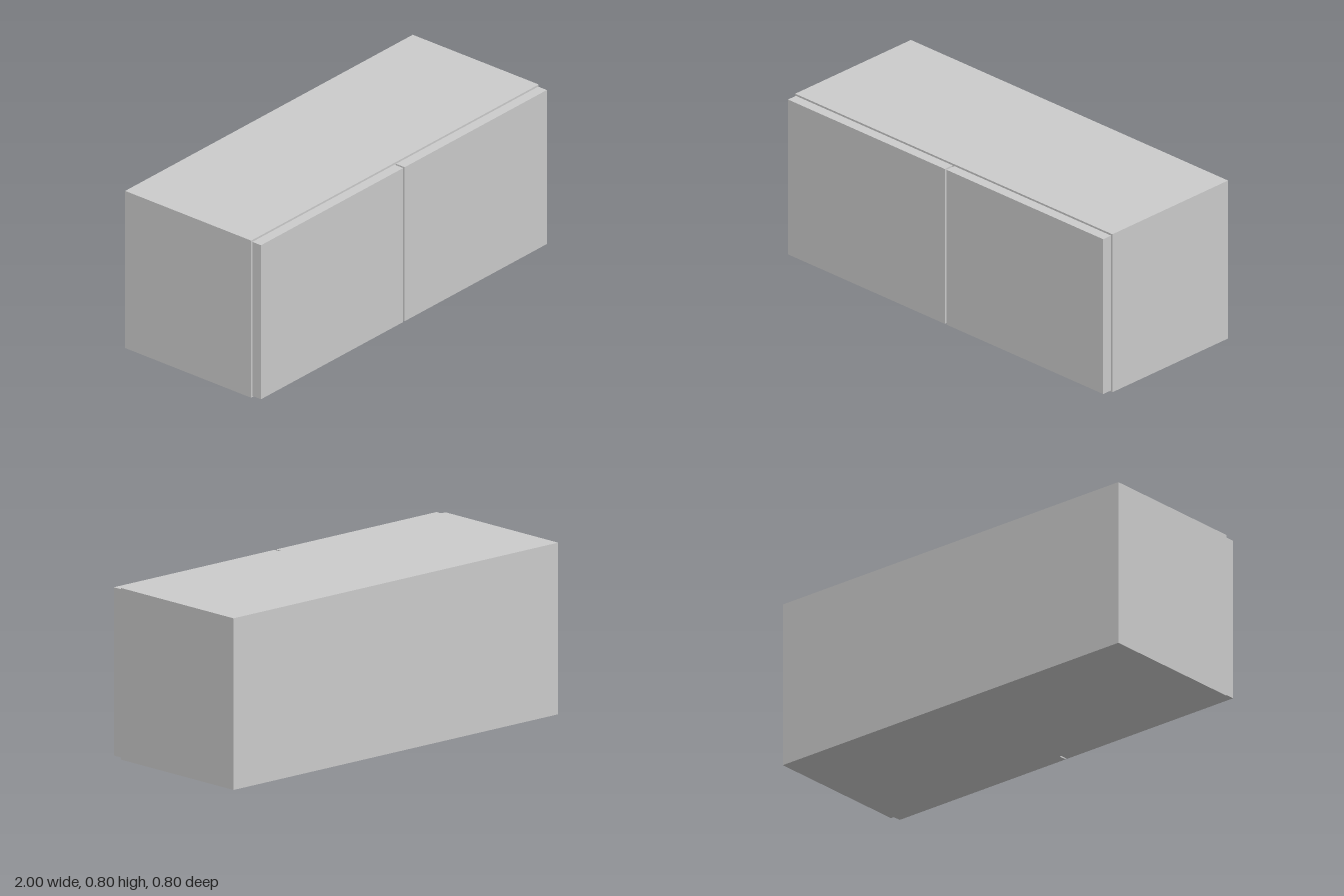
import * as THREE from 'three';

export function createModel() {
  const model = new THREE.Group();
  model.name = 'wallCabinet';
  const material = new THREE.MeshStandardMaterial({ color: 0xcccccc });

  // A board given by its extents along each axis
  function board(name, [x0, x1], [y0, y1], [z0, z1]) {
    const mesh = new THREE.Mesh(new THREE.BoxGeometry(x1 - x0, y1 - y0, z1 - z0), material);
    mesh.position.set((x0 + x1) / 2, (y0 + y1) / 2, (z0 + z1) / 2);
    mesh.name = name;
    model.add(mesh);
  }

  const height = 0.8, back = -0.4, front = 0.347, t = 0.046;
  const inner = 1 - t;
  const span = [-inner, inner];

  // Side panels and doors, mirrored about the centre
  for (const [label, s] of [['left', 1], ['right', -1]]) {
    const mirror = (a, b) => (s > 0 ? [a, b] : [-b, -a]);
    board(label + 'SidePanel', mirror(inner, 1), [0, height], [back, front]);
    board(label + 'Door', mirror(0.005, 0.994), [0.008, 0.792], [0.349, 0.4]);
  }

  // Horizontal boards between the sides
  board('topPanel', span, [height - t, height], [back, front]);
  board('bottomPanel', span, [0, t], [back, front]);
  board('shelf', span, [0.38, 0.38 + t], [back + t, front]);

  // Back panel closing the carcass
  board('backPanel', span, [t, height - t], [back, back + t]);

  return model;
}
